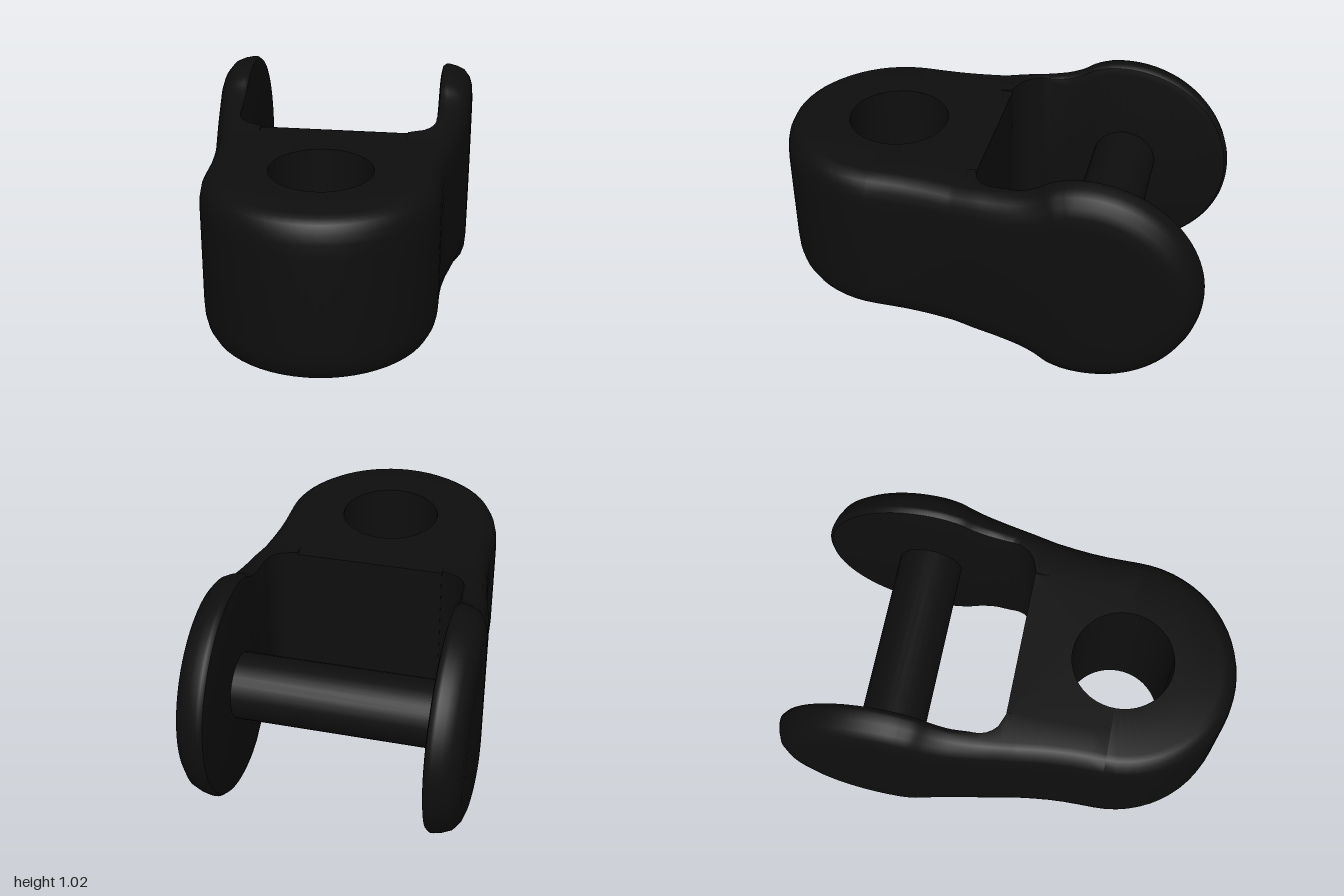
import * as THREE from 'three';
import { toCreasedNormals } from 'three/addons/utils/BufferGeometryUtils.js';

const MID = 0.508;        // height of the symmetry plane
const HALF = 0.372;       // half height of the block
const EYE_Z = 0.485;      // centre of the rounded nose and its hole
const HOLE_R = 0.225;
const NOTCH_Z = 0.03;     // floor of the notch between the arms
const FILLET = 0.12;
const INNER = 0.455;      // inner face of the arms

// rounded outer edge: [inset from the rim, share of the edge depth]
const EDGE = [[0, 1], [0.008, 0.7], [0.025, 0.38], [0.06, 0.15], [0.1, 0.04], [0.16, 0]];

const smooth = THREE.MathUtils.smoothstep;
const outerX = z => 0.515 + 0.095 * smooth(-z, -0.38, 0.45);
const edgeDepth = z => 0.08 + 0.04 * smooth(-z, -NOTCH_Z, 0.45);

// inner face of an arm, curving into the notch floor
function innerX(z) {
  const d = Math.min(FILLET, Math.max(0, z - NOTCH_Z + FILLET));
  return INNER - FILLET + Math.sqrt(FILLET * FILLET - d * d);
}

// upper half of an arm's side outline, from nose to tip, as (z, half height)
function armOutline() {
  const pts = [];
  for (let i = 0; i < 6; i++) pts.push(new THREE.Vector2(EYE_Z - i * 0.075, HALF));
  const neck = new THREE.SplineCurve([
    [0.1, HALF], [0, 0.384], [-0.1, 0.394], [-0.2, 0.413], [-0.27, 0.44], [-0.33, 0.477], [-0.4, 0.5],
  ].map(p => new THREE.Vector2(...p)));
  pts.push(...neck.getPoints(26));
  for (let i = 0; i <= 28; i++) {
    const a = THREE.MathUtils.degToRad(84 + 96 * i / 28);
    pts.push(new THREE.Vector2(-0.49 + 0.508 * Math.cos(a), 0.508 * Math.sin(a)));
  }
  return pts;
}

// arm lofted from closed rings, each with a rounded outer edge
function armGeometry(side) {
  const pts = armOutline(), last = pts.length - 1;
  const position = [], index = [];
  const n = (EDGE.length + 3) * 2;
  pts.forEach((p, i) => {
    const t = pts[Math.min(i + 1, last)].clone().sub(pts[Math.max(i - 1, 0)]).normalize();
    const normal = i === 0 ? [0, 1] : i === last ? [-1, 0] : [t.y, -t.x];
    const at = inset => [p.x - normal[0] * inset, Math.max(0, p.y - normal[1] * inset)];
    const soft = smooth(-p.x, 0.09, 0.2);
    const half = [];
    for (const [inset, dx] of [[0.04, 0], [0.012, 0.006], [0, 0.022]]) {
      const [z, h] = at(inset * soft);
      half.push([innerX(z) + dx * soft, h, z]);
    }
    for (const [inset, share] of EDGE) {
      const [z, h] = at(inset);
      half.push([outerX(z) - share * edgeDepth(z), h, z]);
    }
    for (const [x, h, z] of half) position.push(side * x, MID + h, z);
    for (const [x, h, z] of half.reverse()) position.push(side * x, MID - h, z);
  });
  for (let i = 0; i < last; i++) {
    for (let j = 0; j < n; j++) {
      const a = i * n + j, b = i * n + (j + 1) % n, c = a + n, d = b + n;
      if (side > 0) index.push(a, b, c, b, d, c);
      else index.push(a, c, b, b, c, d);
    }
  }
  const g = new THREE.BufferGeometry();
  g.setAttribute('position', new THREE.Float32BufferAttribute(position, 3));
  g.setIndex(index);
  return toCreasedNormals(g, 0.7);
}

// half-round nose with half of the hole
function noseGeometry() {
  const r = outerX(EYE_Z), depth = edgeDepth(EYE_Z);
  const top = EDGE.map(([inset, share]) => new THREE.Vector2(r - share * depth, HALF - inset)).reverse();
  const bottom = top.map(p => new THREE.Vector2(p.x, -p.y)).reverse();
  const profile = [
    new THREE.Vector2(HOLE_R, -HALF), ...bottom, ...top,
    new THREE.Vector2(HOLE_R, HALF), new THREE.Vector2(HOLE_R, -HALF),
  ];
  return toCreasedNormals(new THREE.LatheGeometry(profile, 30, -Math.PI / 2, Math.PI), 0.7);
}

// web between the arms with the other half of the hole
function webGeometry() {
  const w = INNER - FILLET;
  const s = new THREE.Shape();
  s.moveTo(-w, NOTCH_Z);
  s.lineTo(w, NOTCH_Z);
  s.lineTo(w, EYE_Z);
  s.lineTo(HOLE_R, EYE_Z);
  s.absarc(0, EYE_Z, HOLE_R, 0, -Math.PI, true);
  s.lineTo(-w, EYE_Z);
  s.closePath();
  const g = new THREE.ExtrudeGeometry(s, { depth: HALF * 2, bevelEnabled: false, curveSegments: 15 });
  g.rotateX(Math.PI / 2);
  return toCreasedNormals(g, 0.7);
}

export function createModel() {
  const model = new THREE.Group();
  model.name = 'clevisLink';
  const black = new THREE.MeshStandardMaterial({ color: 0x0e0e0e });
  black.name = 'black';

  const add = (name, geometry, x = 0, y = 0, z = 0) => {
    const mesh = new THREE.Mesh(geometry, black);
    mesh.name = name;
    mesh.position.set(x, y, z);
    model.add(mesh);
    return mesh;
  };

  add('nose', noseGeometry(), 0, MID, EYE_Z);
  add('web', webGeometry(), 0, MID + HALF, 0);
  add('leftArm', armGeometry(1));
  add('rightArm', armGeometry(-1));

  // cross pin between the arms
  const pin = new THREE.CylinderGeometry(0.15, 0.15, INNER * 2 + 0.02, 28);
  pin.rotateZ(Math.PI / 2);
  add('crossPin', pin, 0, MID, -0.5);

  return model;
}
